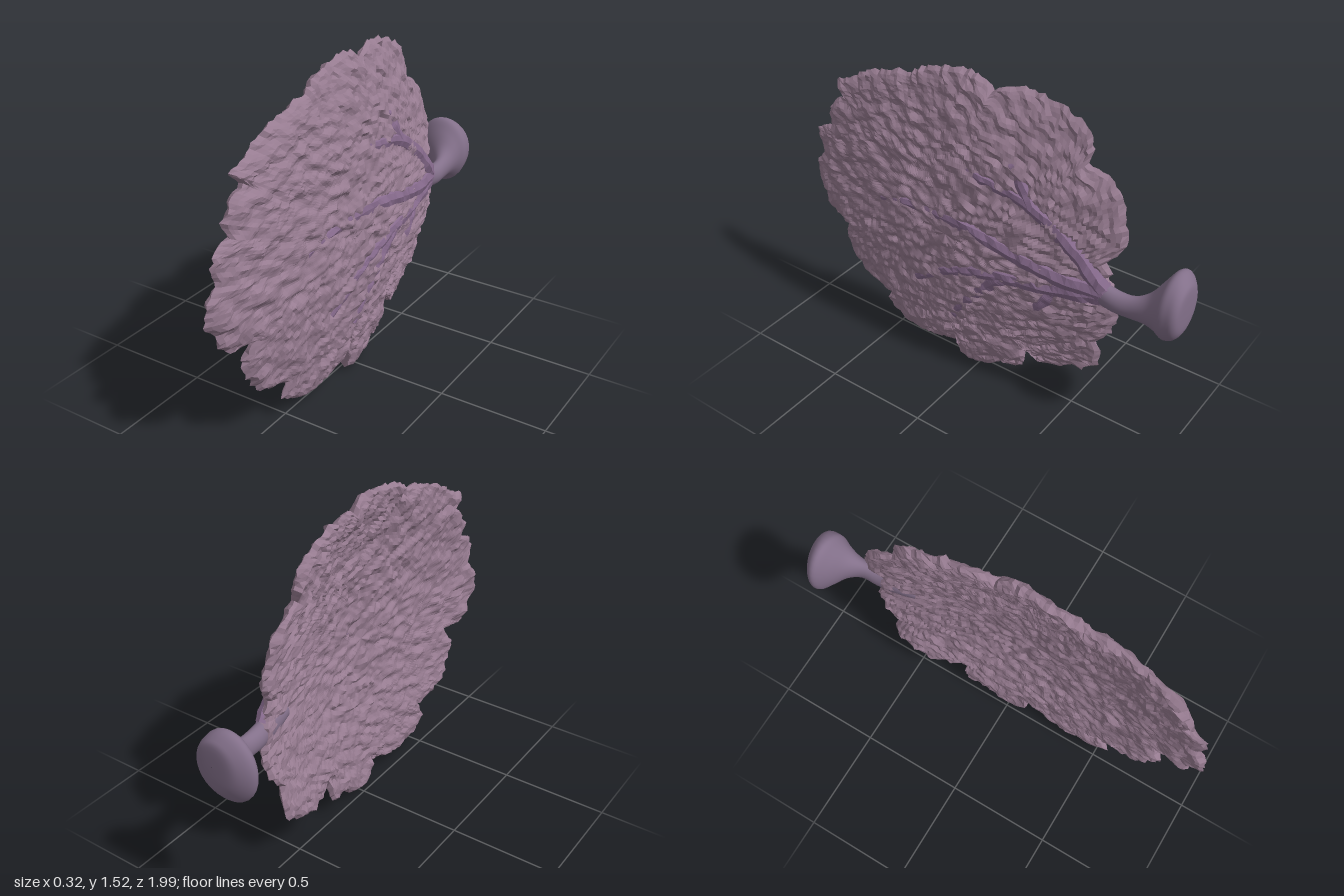
import * as THREE from 'three';

const FAN = new THREE.MeshStandardMaterial({ color: 0x977c91, flatShading: true });
const VEIN = new THREE.MeshStandardMaterial({ color: 0x866a8c, flatShading: true });
const STALK = new THREE.MeshStandardMaterial({ color: 0x83708a });

// Lobed rim of the fan as [z, y], counter-clockwise seen from +x
const RIM = [
  [-.66, .80], [-.64, .87], [-.70, .96], [-.67, 1.12], [-.61, 1.21], [-.50, 1.27], [-.50, 1.38],
  [-.40, 1.46], [-.21, 1.51], [-.06, 1.47], [.03, 1.53], [.22, 1.50], [.35, 1.44], [.54, 1.39],
  [.70, 1.31], [.80, 1.26], [.75, 1.21], [.87, 1.09], [.84, 1.02], [.94, .98], [.92, .85],
  [.99, .74], [.94, .64], [.88, .53], [.74, .56], [.81, .43], [.70, .26], [.50, .22], [.56, .13],
  [.34, .05], [.17, .10], [.10, .12], [.09, .03], [0, .02], [-.13, .09], [-.24, .10], [-.25, .25],
  [-.34, .17], [-.46, .20], [-.60, .26], [-.61, .42], [-.69, .57], [-.69, .66],
];
const CZ = 0.1, CY = 0.78;

// Smooth value noise from a small hash, in -1..1
const hash = (a, b) => {
  const s = Math.sin(a * 127.1 + b * 311.7) * 43758.5453;
  return (s - Math.floor(s)) * 2 - 1;
};
function noise(a, b) {
  const i = Math.floor(a), j = Math.floor(b), L = THREE.MathUtils.lerp;
  const u = THREE.MathUtils.smoothstep(a - i, 0, 1), v = THREE.MathUtils.smoothstep(b - j, 0, 1);
  return L(L(hash(i, j), hash(i + 1, j), u), L(hash(i, j + 1), hash(i + 1, j + 1), u), v);
}

// Middle surface of the fan: a shallow dome towards +x, its back lobes bent away
function dome(z, y) {
  const r2 = ((z - .12) / .87) ** 2 + ((y - .77) / .77) ** 2, back = Math.max(0, -z);
  return 0.006 + 0.108 * Math.max(0, 1 - r2) + 0.08 * Math.max(0, .3 - y)
    - back * (0.17 * Math.max(0, y - .8) + 0.2 * Math.max(0, .55 - y));
}

// Surface from a grid of points: rows of a closed loop
function gridGeometry(rows, cols, point) {
  const pos = [], idx = [];
  for (let j = 0; j < rows; j++) for (let i = 0; i < cols; i++) pos.push(...point(i, j));
  for (let j = 0; j < rows - 1; j++) for (let i = 0; i < cols; i++) {
    const n = (i + 1) % cols, a = j * cols + i, b = a + cols, c = b - i + n, d = j * cols + n;
    idx.push(a, b, c, a, c, d);
  }
  const g = new THREE.BufferGeometry();
  g.setAttribute('position', new THREE.Float32BufferAttribute(pos, 3));
  g.setIndex(idx);
  g.computeVertexNormals();
  return g;
}

// Closed shell: convex face out to the rim, then back along the concave face
function fanGeometry() {
  const edge = [];
  RIM.forEach(([z, y], k) => {
    const [z2, y2] = RIM[(k + 1) % RIM.length];
    const n = Math.max(2, Math.round(Math.hypot(z2 - z, y2 - y) / 0.022));
    for (let i = 0; i < n; i++) {
      const t = i / n, swell = 1 + 0.015 * Math.sin(Math.PI * t) + 0.012 * hash(k, i);
      edge.push([(z + (z2 - z) * t - CZ) * swell, (y + (y2 - y) * t - CY) * swell]);
    }
  });
  // inner rings follow a smoothed rim, so the notches stay at the edge
  const N = edge.length, W = 16;
  const smooth = edge.map((_, i) => [0, 1].map((k) => {
    let sum = 0;
    for (let w = -W; w <= W; w++) sum += edge[(i + w + N) % N][k];
    return sum / (2 * W + 1);
  }));
  const R = 40;
  return gridGeometry(2 * R + 1, N, (i, j) => {
    const side = j <= R ? 1 : -1;
    const s = (Math.min(j, 2 * R - j) / R) ** 0.75;
    const [dz, dy] = [0, 1].map((k) => THREE.MathUtils.lerp(smooth[i][k], edge[i][k], s ** 5) * s);
    const z = Math.min(1, CZ + dz), y = Math.max(0, CY + dy);
    const half = 0.03 * Math.sqrt(1 - s ** 20);
    // grain runs away from the stalk
    const a = Math.atan2(y - .73, z + 1.1), d = Math.hypot(y - .73, z + 1.1);
    const bump = 0.012 * noise(d * 14 + side * 40, a * 44) + 0.008 * noise(z * 40, y * 45 + side * 90);
    return [dome(z, y) + side * half + bump, y, z];
  });
}

// Low, tapered vein lying on the dome, path given as [z, y]
function vein(path, r0, r1) {
  const curve = new THREE.CatmullRomCurve3(path.map(([z, y]) => new THREE.Vector3(dome(z, y), y, z)));
  const segs = 40, sides = 8;
  const g = new THREE.TubeGeometry(curve, segs, 1, sides);
  const p = g.attributes.position, v = new THREE.Vector3();
  for (let i = 0; i < p.count; i++) {
    const t = Math.floor(i / (sides + 1)) / segs, c = curve.getPointAt(t);
    v.fromBufferAttribute(p, i).sub(c).multiplyScalar(r0 + (r1 - r0) * t);
    const y = c.y + v.y, z = c.z + v.z;
    p.setXYZ(i, dome(c.z, c.y) + .013 + v.x * .75 + .006 * noise(z * 30, y * 40), y, z);
  }
  const m = new THREE.Mesh(g, VEIN);
  m.name = 'vein';
  return m;
}

// Stalk flaring into the foot: sections [z, x, y, half width, half height]
function stalkGeometry() {
  const S = [
    [-.50, .045, .74, .02, .03], [-.60, .04, .735, .035, .055], [-.70, .04, .715, .04, .052],
    [-.78, .035, .715, .037, .055], [-.84, .015, .728, .06, .075], [-.885, -.015, .745, .10, .12],
    [-.92, -.03, .755, .13, .16], [-.95, -.03, .76, .13, .16], [-.98, -.015, .767, .11, .13],
    [-.997, -.005, .775, .075, .09], [-1, 0, .775, .001, .001],
  ];
  const curves = [0, 1, 2, 3, 4].map((k) => new THREE.SplineCurve(S.map((s, i) => new THREE.Vector2(i, s[k]))));
  const rows = 41, cols = 28;
  return gridGeometry(rows, cols, (i, j) => {
    const [z, x, y, w, h] = curves.map((c) => c.getPoint(j / (rows - 1)).y);
    const a = i / cols * Math.PI * 2;
    return [x + w * Math.cos(a), y + h * Math.sin(a), Math.max(-1, z)];
  });
}

export function createModel() {
  const model = new THREE.Group();
  const add = (name, geometry, material) => {
    const m = new THREE.Mesh(geometry, material);
    m.name = name;
    model.add(m);
  };
  add('fan', fanGeometry(), FAN);
  add('stalkAndFoot', stalkGeometry(), STALK);

  // Main ribs and side branches
  const veins = new THREE.Group();
  veins.name = 'veins';
  veins.add(
    vein([[-.66, .73], [-.4, .76], [-.1, .83], [.2, .86], [.48, .82]], .05, .024),
    vein([[-.64, .75], [-.5, .9], [-.3, 1.04], [-.08, 1.1], [.1, 1.13]], .046, .022),
    vein([[-.3, 1.04], [-.22, 1.17], [-.12, 1.28]], .035, .022),
    vein([[-.66, .72], [-.4, .68], [-.1, .64], [.12, .56], [.3, .44]], .046, .022),
    vein([[-.2, .66], [-.08, .54], [.02, .42], [.1, .3]], .036, .022),
    vein([[-.45, .69], [-.36, .56], [-.28, .44]], .034, .022),
  );
  model.add(veins);
  return model;
}
